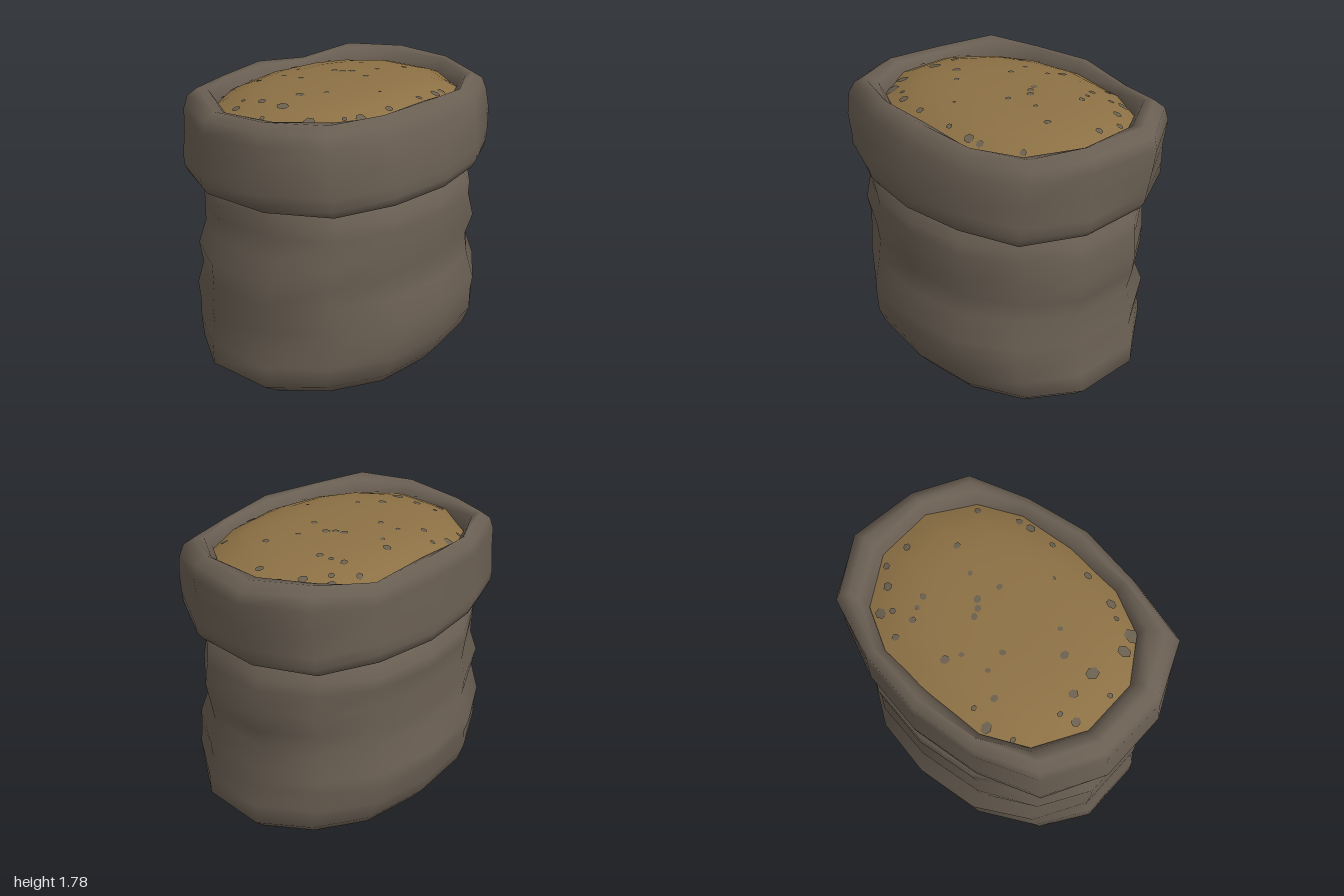
import * as THREE from 'three';

const SIDES = 14;

// Quarter outlines (x, z), front middle to side, mirrored into 14-sided rounded ovals
const BODY = [[0, 1], [0.44, 0.93], [0.8, 0.69], [1, 0.29]];
const COLLAR = [[0, 1], [0.43, 0.93], [0.81, 0.745], [1, 0.29]];
const MOUTH = [[0, 1], [0.46, 0.98], [0.79, 0.765], [1, 0.3]];

// Point k of an outline; k = 0 faces the front, then goes towards +x
function outlinePoint(outline, k) {
  const q = k % 7;
  const [x, z] = outline[q < 4 ? q : 7 - q];
  const behind = k > 3 && k < 11;
  return [k > 7 ? -x : x, behind ? -z : z];
}

// Skin over rings given as [y, left, right, front, back, outline]; adjust(point, ring, k) bends the vertices
function loft(rings, outline, adjust) {
  const pos = [], index = [];
  rings.forEach(([y, left, right, front, back, own = outline], i) => {
    for (let k = 0; k < SIDES; k++) {
      const [ux, uz] = outlinePoint(own, k);
      const p = new THREE.Vector3(ux * (ux > 0 ? left : right), y, uz * (uz > 0 ? front : back));
      adjust(p, i, k);
      pos.push(p.x, p.y, p.z);
      if (i === rings.length - 1) continue;
      const a = i * SIDES + k, b = i * SIDES + (k + 1) % SIDES;
      index.push(a, b, b + SIDES, a, b + SIDES, a + SIDES);
    }
  });
  const g = new THREE.BufferGeometry();
  g.setAttribute('position', new THREE.Float32BufferAttribute(pos, 3));
  g.setIndex(index);
  g.computeVertexNormals();
  return g;
}

// Move a vertex in or out from the middle axis
function push(p, amount) {
  p.x *= 1 + amount;
  p.z *= 1 + amount;
}

// Gentle cloth creases on the diagonal sides
function crease(p, i, k, amount) {
  if ([1, 2, 5, 6].includes(k % 7)) push(p, amount * Math.sin(i * 2.1 + k * 1.7));
}

// Domed surface of the contents
const fillHeight = (x, z) =>
  1.778 - 0.08 * ((x / 0.79) ** 2 + (z / (z > 0 ? 0.57 : 0.61)) ** 2) ** 2;

export function createModel() {
  const group = new THREE.Group();
  const cloth = new THREE.MeshStandardMaterial({ color: 0x6a5f53 });
  cloth.name = 'brown cloth';
  const grain = new THREE.MeshStandardMaterial({ color: 0x8d7145 });
  grain.name = 'golden grain';
  const speck = new THREE.MeshStandardMaterial({ color: 0x6b604f });
  speck.name = 'grey speck';

  const add = (name, geometry, material) => {
    const mesh = new THREE.Mesh(geometry, material);
    mesh.name = name;
    group.add(mesh);
  };

  // Sack body, from the middle of the base up under the collar
  const bodyRings = [
    [0, 0, 0, 0, 0],
    [0.01, 0.6, 0.6, 0.46, 0.46],
    [0.06, 0.85, 0.86, 0.67, 0.66],
    [0.15, 0.94, 0.98, 0.74, 0.73],
    [0.28, 0.93, 0.97, 0.8, 0.78],
    [0.4, 0.89, 0.94, 0.805, 0.79],
    [0.51, 0.9, 0.945, 0.81, 0.81],
    [0.67, 0.86, 0.945, 0.775, 0.74],
    [0.8, 0.89, 0.945, 0.74, 0.76],
    [0.94, 0.91, 0.89, 0.78, 0.73],
    [1.08, 0.89, 0.875, 0.755, 0.76],
    [1.16, 0.88, 0.865, 0.76, 0.76],
    [1.23, 0.83, 0.85, 0.7, 0.7],
    [1.3, 0.8, 0.82, 0.67, 0.67],
  ];
  // Sag of the four corners: [low, high]
  const sag = { 2: [0, -0.05], 5: [-0.025, -0.02], 9: [0, 0], 12: [-0.03, 0.03] };
  add('sackBody', loft(bodyRings, BODY, (p, i, k) => {
    if (i > 3 && i < 12) crease(p, i, k, 0.007);
    if (sag[k]) push(p, THREE.MathUtils.lerp(...sag[k], THREE.MathUtils.smoothstep(p.y, 0.4, 1)));
  }), cloth);

  // Rolled collar: underside, outer wall, rim, inner wall
  const collarRings = [
    [1.25, 0.78, 0.8, 0.65, 0.65],
    [1.23, 0.83, 0.85, 0.7, 0.7],
    [1.26, 0.91, 0.95, 0.77, 0.75],
    [1.31, 0.94, 0.985, 0.785, 0.76],
    [1.38, 0.95, 1.0, 0.79, 0.77],
    [1.52, 0.95, 0.97, 0.775, 0.755],
    [1.65, 0.97, 0.965, 0.74, 0.755],
    [1.725, 0.95, 0.94, 0.71, 0.75],
    [1.765, 0.88, 0.88, 0.655, 0.695],
    [1.75, 0.83, 0.82, 0.61, 0.65, MOUTH],
    [1.68, 0.785, 0.785, 0.57, 0.61, MOUTH],
    [1.58, 0.77, 0.77, 0.56, 0.6, MOUTH],
  ];
  const rimLift = [0, -0.03, -0.015, 0.01, 0.015, 0.02, -0.035, 0.005, -0.005, 0.015, -0.03, -0.01, 0, -0.01];
  const rimFlare = { 3: -0.025, 4: 0.025, 11: 0.01, 12: 0.04 };
  add('rolledCollar', loft(collarRings, COLLAR, (p, i, k) => {
    if (i > 1 && i < 8) crease(p, i, k, 0.007);
    if (i > 5 && i < 10) p.y += rimLift[k];
    if (i > 4 && i < 9 && rimFlare[k]) push(p, rimFlare[k]);
  }), cloth);

  // Domed contents
  const fillRings = [1.03, 0.9, 0.75, 0.55, 0.3, 0].map(
    (s) => [0, 0.79 * s, 0.79 * s, 0.57 * s, 0.61 * s]);
  add('grainFill', loft(fillRings, MOUTH, (p) => { p.y = fillHeight(p.x, p.z); }), grain);

  // Scattered flecks as x, z, radius
  const flecks = [
    -0.37, -0.55, 0.03, -0.25, -0.52, 0.015, -0.52, -0.5, 0.015, -0.3, -0.41, 0.02,
    0.05, -0.43, 0.025, 0, -0.35, 0.015, -0.17, -0.32, 0.015, -0.16, -0.19, 0.018,
    0.36, -0.51, 0.02, 0.35, -0.38, 0.02, 0.48, -0.41, 0.018, 0.53, -0.46, 0.03,
    0.38, -0.31, 0.015, 0.4, -0.24, 0.02, 0.61, -0.32, 0.025, 0.71, -0.23, 0.02,
    0.7, -0.07, 0.022, 0.1, -0.14, 0.02, 0.12, -0.09, 0.02, 0.16, -0.05, 0.022,
    0.3, 0.04, 0.015, 0.12, 0.09, 0.018, 0.48, 0.12, 0.02, -0.42, 0.03, 0.024,
    -0.6, 0.06, 0.035, -0.71, -0.2, 0.025, -0.62, -0.23, 0.015, -0.6, -0.1, 0.025,
    -0.75, 0.04, 0.015, -0.3, 0.13, 0.015, -0.64, 0.29, 0.035, -0.61, 0.4, 0.045,
    -0.48, 0.41, 0.015, -0.4, 0.46, 0.028, -0.19, 0.5, 0.022, 0.09, 0.51, 0.018,
    0.26, 0.51, 0.028, 0.34, 0.5, 0.022, 0.57, 0.39, 0.02, -0.07, 0.34, 0.01,
  ];
  const fleckGroup = new THREE.Group();
  fleckGroup.name = 'grainFlecks';
  for (let i = 0; i < flecks.length; i += 3) {
    const [x, z, r] = flecks.slice(i, i + 3);
    const g = new THREE.CircleGeometry(r, 6);
    g.rotateX(-Math.PI / 2).scale(1, 1, 1.2).rotateY(i).translate(x, 0, z);
    const p = g.attributes.position;
    for (let v = 0; v < p.count; v++) p.setY(v, fillHeight(p.getX(v), p.getZ(v)) + 0.003);
    g.computeVertexNormals();
    const mesh = new THREE.Mesh(g, speck);
    mesh.name = 'fleck';
    fleckGroup.add(mesh);
  }
  group.add(fleckGroup);
  return group;
}
